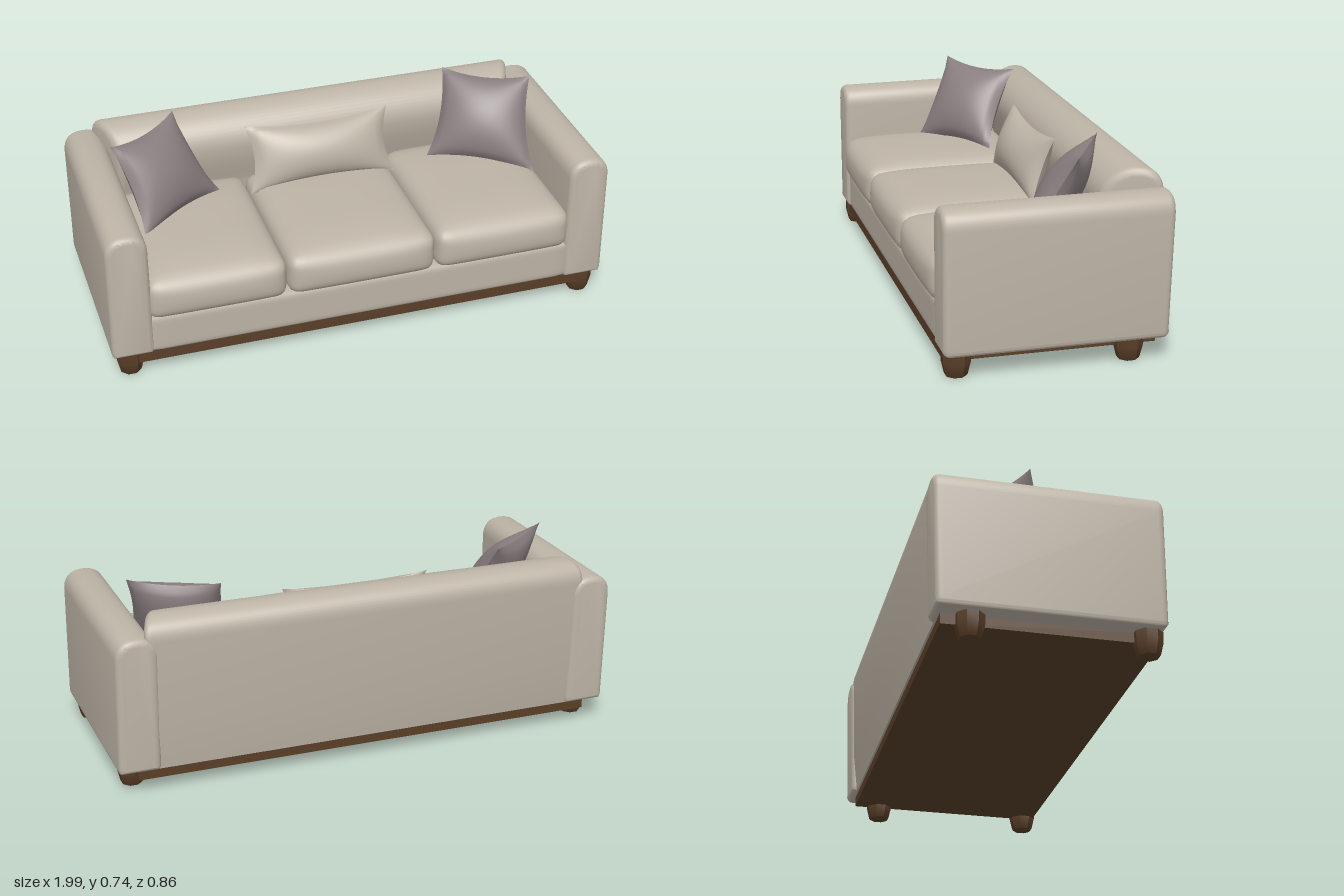
import * as THREE from 'three';
import { mergeVertices, toCreasedNormals } from 'three/addons/utils/BufferGeometryUtils.js';

const fabric = new THREE.MeshStandardMaterial({ color: 0xbdb4a6 });
fabric.name = 'beige fabric';
const accent = new THREE.MeshStandardMaterial({ color: 0x897e80 });
accent.name = 'mauve fabric';
const wood = new THREE.MeshStandardMaterial({ color: 0x5a3f28 });
wood.name = 'dark wood';

const V = (x, y, z) => new THREE.Vector3(x, y, z);

function add(group, name, geometry, material) {
  const mesh = new THREE.Mesh(geometry, material);
  mesh.name = name;
  group.add(mesh);
  return mesh;
}

// Move every vertex of a geometry by a rule
function warp(geometry, rule) {
  const pos = geometry.attributes.position;
  const p = V(0, 0, 0);
  for (let i = 0; i < pos.count; i++) {
    rule(p.fromBufferAttribute(pos, i));
    pos.setXYZ(i, p.x, p.y, p.z);
  }
  return geometry;
}

// Smooth upholstered block with rounded edges, crowned top and bulging front
function softBox(min, max, r, crown = 0, bulge = 0) {
  const half = max.clone().sub(min).multiplyScalar(0.5);
  const centre = min.clone().add(max).multiplyScalar(0.5);
  let g = new THREE.BoxGeometry(half.x * 2, half.y * 2, half.z * 2, 24, 12, 24);
  g.deleteAttribute('uv');
  g.deleteAttribute('normal');
  g = mergeVertices(g);
  const inner = half.clone().subScalar(r);
  warp(g, (p) => {
    const core = p.clone().clamp(inner.clone().negate(), inner);
    p.sub(core).normalize().multiplyScalar(r).add(core);
    const [u, v, w] = [p.x / half.x, p.y / half.y, p.z / half.z];
    if (v > 0) p.y += crown * v * (1 - u ** 4) * (1 - w ** 4);
    if (w > 0) p.z += bulge * w * (1 - u ** 4) * (1 - v * v);
    p.add(centre);
  });
  g.computeVertexNormals();
  return g;
}

// Bevelled extrusion whose outline and total length stay exact
function bevelled(shape, length, bevel) {
  const g = new THREE.ExtrudeGeometry(shape, {
    depth: length - 2 * bevel, steps: 1, curveSegments: 12,
    bevelEnabled: true, bevelThickness: bevel, bevelSize: bevel,
    bevelOffset: -bevel, bevelSegments: 4,
  });
  return g.translate(0, 0, bevel - length / 2);
}

// Pillow stretched between four corners, with pinched edges and plump middle
function pillow(name, corners, thickness, pinch, material) {
  const [tl, tr, br, bl] = corners;
  const right = tr.clone().sub(tl).add(br).sub(bl).multiplyScalar(0.25);
  const up = tl.clone().sub(bl).add(tr).sub(br).multiplyScalar(0.25);
  const normal = right.clone().cross(up).normalize();
  const [pu, pv] = [pinch / right.length(), pinch / up.length()];
  const group = new THREE.Group();
  group.name = name;
  for (const side of [1, -1]) {
    const g = warp(new THREE.PlaneGeometry(2, 2, 24, 24), (p) => {
      const fu = Math.max(0, 1 - p.x * p.x);
      const fv = Math.max(0, 1 - p.y * p.y);
      const u = side * p.x * (1 - pu * fv);
      const v = p.y * (1 - pv * fu);
      const top = tl.clone().lerp(tr, (u + 1) / 2);
      const bottom = bl.clone().lerp(br, (u + 1) / 2);
      p.copy(bottom.lerp(top, (v + 1) / 2));
      p.addScaledVector(normal, side * thickness / 2 * Math.pow(fu * fv, 0.6));
    });
    g.computeVertexNormals();
    add(group, side > 0 ? 'pillowFront' : 'pillowBack', g, material);
  }
  return group;
}

export function createModel() {
  const sofa = new THREE.Group();
  sofa.name = 'sofa';

  // Wooden plinth and tapered octagonal legs
  const plinth = add(sofa, 'plinth', new THREE.BoxGeometry(1.84, 0.045, 0.785), wood);
  plinth.position.set(0, 0.0735, 0);
  const legProfile = [[0, 0], [0.039, 0], [0.043, 0.006], [0.054, 0.052], [0.054, 0.095], [0, 0.095]]
    .map(([r, y]) => new THREE.Vector2(r, y));
  const legGeometry = toCreasedNormals(
    new THREE.LatheGeometry(legProfile, 8).rotateY(Math.PI / 8), 0.5);
  for (const x of [-0.922, 0.922]) {
    for (const z of [0.35, -0.288]) {
      add(sofa, z > 0 ? 'frontLeg' : 'backLeg', legGeometry, wood).position.set(x, 0, z);
    }
  }

  // Seat base
  add(sofa, 'seatBase', softBox(V(-0.87, 0.09, -0.35), V(0.87, 0.25, 0.4), 0.02), fabric);

  // Arms with rounded tops, very slightly lower at the front
  const arch = new THREE.Shape();
  arch.moveTo(-0.068, 0.09);
  arch.lineTo(0.07, 0.09);
  arch.quadraticCurveTo(0.082, 0.09, 0.082, 0.12);
  arch.lineTo(0.08, 0.55);
  arch.bezierCurveTo(0.078, 0.6, 0.05, 0.624, 0, 0.624);
  arch.bezierCurveTo(-0.05, 0.624, -0.078, 0.6, -0.08, 0.55);
  arch.lineTo(-0.08, 0.12);
  arch.quadraticCurveTo(-0.08, 0.09, -0.068, 0.09);
  for (const side of [1, -1]) {
    const g = warp(bevelled(arch, 0.83, 0.025), (p) => {
      if (p.y > 0.3) p.y -= 0.012 * Math.max(0, p.z);
      p.x += side * 0.915;
      p.z -= 0.006 + 0.014 * (p.y > 0.3 && p.z < 0 ? 1 : 0);
    });
    add(sofa, side > 0 ? 'leftArm' : 'rightArm', toCreasedNormals(g, 0.7), fabric);
  }

  // Backrest with rolled top, its ends narrowing towards the front
  const back = new THREE.Shape();
  back.moveTo(0.4, 0.09);
  back.lineTo(0.417, 0.25);
  back.lineTo(0.428, 0.6);
  back.bezierCurveTo(0.43, 0.66, 0.39, 0.686, 0.34, 0.686);
  back.bezierCurveTo(0.28, 0.686, 0.215, 0.64, 0.21, 0.57);
  back.bezierCurveTo(0.21, 0.5, 0.235, 0.44, 0.25, 0.38);
  back.lineTo(0.27, 0.09);
  const backGeometry = bevelled(back, 1.78, 0.03).rotateY(Math.PI / 2);
  warp(backGeometry, (p) => { p.x *= 1 - 0.4 * (p.z + 0.43); });
  add(sofa, 'backrest', toCreasedNormals(backGeometry, 0.7), fabric);

  // Three seat cushions
  for (const [x0, x1] of [[-0.85, -0.307], [-0.303, 0.287], [0.291, 0.845]]) {
    add(sofa, 'seatCushion',
      softBox(V(x0, 0.235, -0.27), V(x1, 0.4, 0.41), 0.045, 0.032, 0.018), fabric);
  }

  // Scatter pillows
  sofa.add(pillow('centrePillow',
    [V(-0.312, 0.655, -0.2), V(0.285, 0.655, -0.2), V(0.292, 0.395, -0.11), V(-0.312, 0.39, -0.11)],
    0.15, 0.03, fabric));
  sofa.add(pillow('rightPillow',
    [V(-0.87, 0.738, -0.055), V(-0.58, 0.73, -0.275), V(-0.435, 0.425, -0.13), V(-0.785, 0.405, 0.1)],
    0.15, 0.025, accent));
  sofa.add(pillow('leftPillow',
    [V(0.55, 0.742, -0.28), V(0.865, 0.738, -0.11), V(0.82, 0.405, 0.09), V(0.44, 0.425, -0.135)],
    0.15, 0.025, accent));

  return sofa;
}
